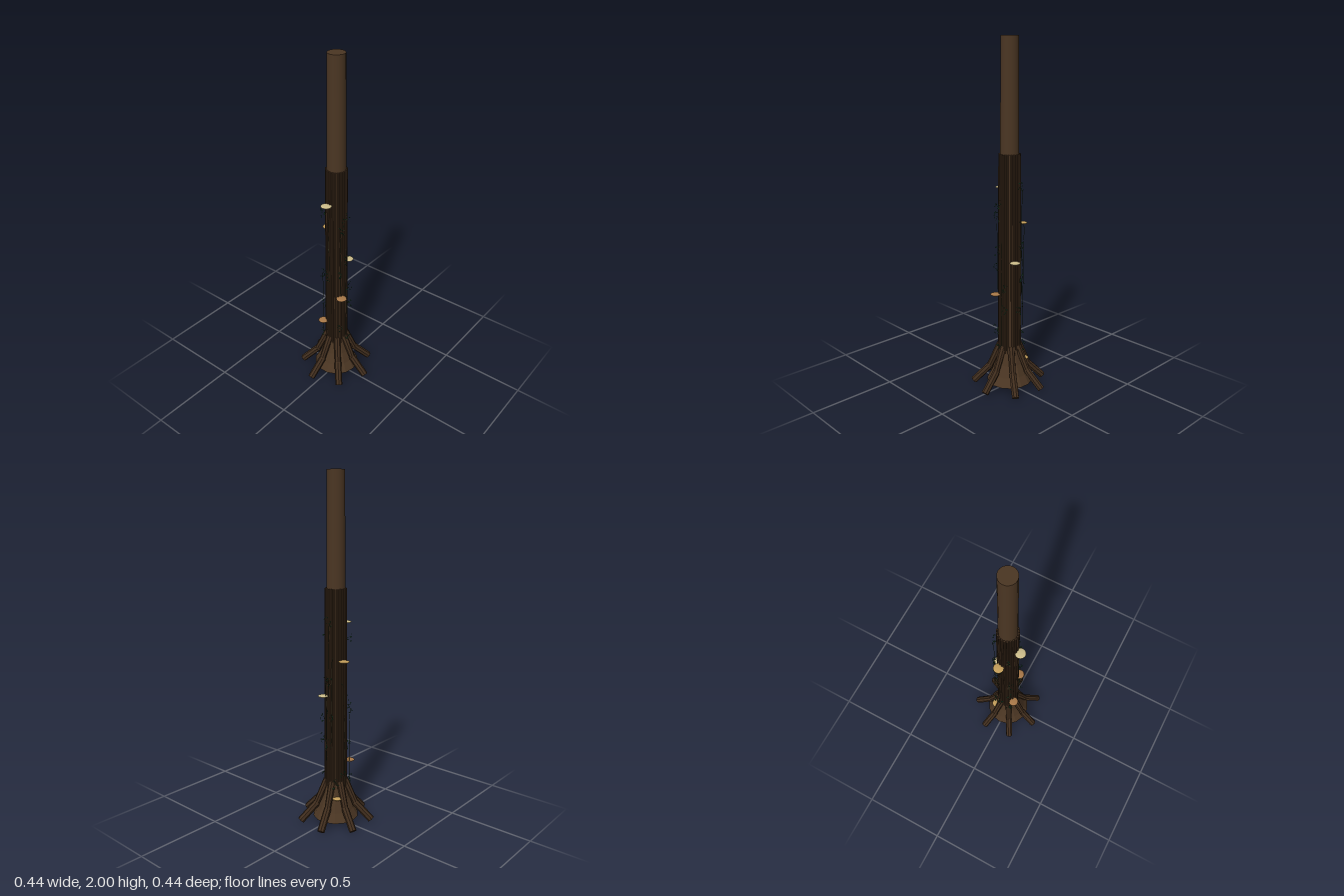
import * as THREE from 'three';

const mat = (name, color, extra = {}) =>
  Object.assign(new THREE.MeshStandardMaterial({ color, ...extra }), { name });

export function createModel() {
  const model = new THREE.Group();
  model.name = 'tallTree';
  const tree = new THREE.Group();
  tree.name = 'tree';
  tree.position.set(0.003, 0, -0.008);
  model.add(tree);

  const wood = mat('trunkBrown', 0x4b3623);
  const bark = mat('barkBrown', 0x402d1d, { flatShading: true });
  const cream = mat('creamCap', 0xcdbd8a);
  const tan = mat('tanCap', 0xc49e5a);
  const rust = mat('rustCap', 0xa87848);
  const leafGreen = mat('leafGreen', 0x1f4a2e, { flatShading: true });
  const vineGreen = mat('vineGreen', 0x24331f);

  let seed = 7;
  const rand = () => (seed = (seed * 16807) % 2147483647) / 2147483647;
  const polar = (deg, r, y) => {
    const a = THREE.MathUtils.degToRad(deg);
    return new THREE.Vector3(Math.cos(a) * r, y, Math.sin(a) * r);
  };
  const add = (name, geometry, material, parent = tree) => {
    const mesh = new THREE.Mesh(geometry, material);
    mesh.name = name;
    parent.add(mesh);
    return mesh;
  };
  const group = (name) => {
    const g = new THREE.Group();
    g.name = name;
    tree.add(g);
    return g;
  };
  // Cylinder between two points
  const limb = (name, a, b, ra, rb, material, parent) => {
    const dir = b.clone().sub(a);
    const mesh = add(name, new THREE.CylinderGeometry(rb, ra, dir.length(), 8), material, parent);
    mesh.position.copy(a).add(b).multiplyScalar(0.5);
    mesh.quaternion.setFromUnitVectors(new THREE.Vector3(0, 1, 0), dir.normalize());
    return mesh;
  };

  // Trunk core
  const trunk = add('trunk', new THREE.CylinderGeometry(0.048, 0.06, 1.8, 20), wood);
  trunk.position.y = 1.1;

  // Flared base with a flat underside
  const flare = [[0, 0.035], [0.133, 0.035], [0.106, 0.085], [0.082, 0.15], [0.06, 0.25]];
  add('flaredBase', new THREE.LatheGeometry(
    flare.map(([x, y]) => new THREE.Vector2(x, y)), 14).toNonIndexed(), wood)
    .geometry.computeVertexNormals();

  // Vertical bark ridges around the lower trunk
  const ridges = group('barkRidges');
  const ridgeCount = 22;
  for (let i = 0; i < ridgeCount; i++) {
    const deg = (i * 360) / ridgeCount;
    const depth = 0.012 + rand() * 0.004;
    const ridge = limb('barkRidge', polar(deg, 0.06, 0.22), polar(deg, 0.055, 1.378), 0.008, 0.007, bark, ridges);
    ridge.scale.set(depth / 0.016, 1, depth / 0.016);
  }

  // Seven bent roots
  const roots = group('roots');
  for (let i = 0; i < 7; i++) {
    const deg = 34.5 + (i * 360) / 7;
    const knee = polar(deg, 0.117, 0.115);
    limb('upperRoot', polar(deg, 0.053, 0.26), knee, 0.021, 0.018, bark, roots);
    limb('lowerRoot', knee, polar(deg, 0.21, 0.018), 0.021, 0.021, bark, roots);
    const joint = add('rootKnee', new THREE.IcosahedronGeometry(0.02, 1), bark, roots);
    joint.position.copy(knee);
  }

  // Shelf mushrooms: x, y, z, radius, colour
  const shelves = group('shelfMushrooms');
  const caps = [
    [0.02, 0.98, -0.077, 0.031, tan],
    [0.057, 0.17, -0.06, 0.028, tan],
    [-0.079, 1.18, -0.008, 0.031, cream],
    [0.074, 0.775, 0.029, 0.03, cream],
    [-0.041, 0.572, 0.07, 0.031, rust],
    [-0.064, 0.37, -0.049, 0.03, rust],
  ];
  for (const [x, y, z, r, material] of caps) {
    const cap = add('mushroomCap', new THREE.SphereGeometry(r, 18, 8), material, shelves);
    cap.scale.y = 0.2;
    cap.position.set(x, y, z);
  }

  // Hanging vines: angle, top, bottom, distance from the axis
  const vines = group('vines');
  const strands = [
    [-12, 1.2, 0.78, 0.082], [-4, 0.87, 0.4, 0.086], [-24, 1.0, 0.5, 0.083],
    [-75, 0.85, 0.3, 0.084], [86, 0.9, 0.25, 0.068], [122, 1.04, 0.6, 0.071],
    [236, 0.72, 0.26, 0.078], [180, 1.1, 0.7, 0.066],
  ];
  for (const [deg, top, bottom, r] of strands) {
    const points = [polar(deg, 0.055, top)];
    for (let k = 0; k <= 5; k++) {
      points.push(polar(deg + (rand() - 0.5) * 5, r, top - 0.015 - ((top - bottom - 0.015) * k) / 5));
    }
    add('vine', new THREE.TubeGeometry(new THREE.CatmullRomCurve3(points), 24, 0.0013, 5), vineGreen, vines);
  }

  // Leaf clusters: angle, height
  const leaves = group('leafClusters');
  const leafGeometry = new THREE.OctahedronGeometry(0.0075);
  const clusters = [
    [-8, 1.2], [-12, 0.86], [-4, 0.5], [-20, 0.67], [100, 1.1], [122, 1.03],
    [98, 0.84], [124, 0.73], [65, 0.63], [68, 0.5], [125, 0.36], [95, 0.26],
    [238, 1.1], [232, 0.7], [242, 0.48], [240, 0.27], [-75, 0.3], [-40, 0.26],
    [185, 0.72],
  ];
  for (const [deg, y] of clusters) {
    for (let k = 0; k < 8; k++) {
      const leaf = add('leaf', leafGeometry, leafGreen, leaves);
      leaf.position.copy(polar(deg + (rand() - 0.5) * 28, 0.066 + rand() * 0.026, y + (rand() - 0.5) * 0.06));
      leaf.rotation.set(rand() * 3, rand() * 3, rand() * 3);
      leaf.scale.set(1, 0.35, 0.6).multiplyScalar(0.7 + rand() * 0.5);
    }
  }
  return model;
}
